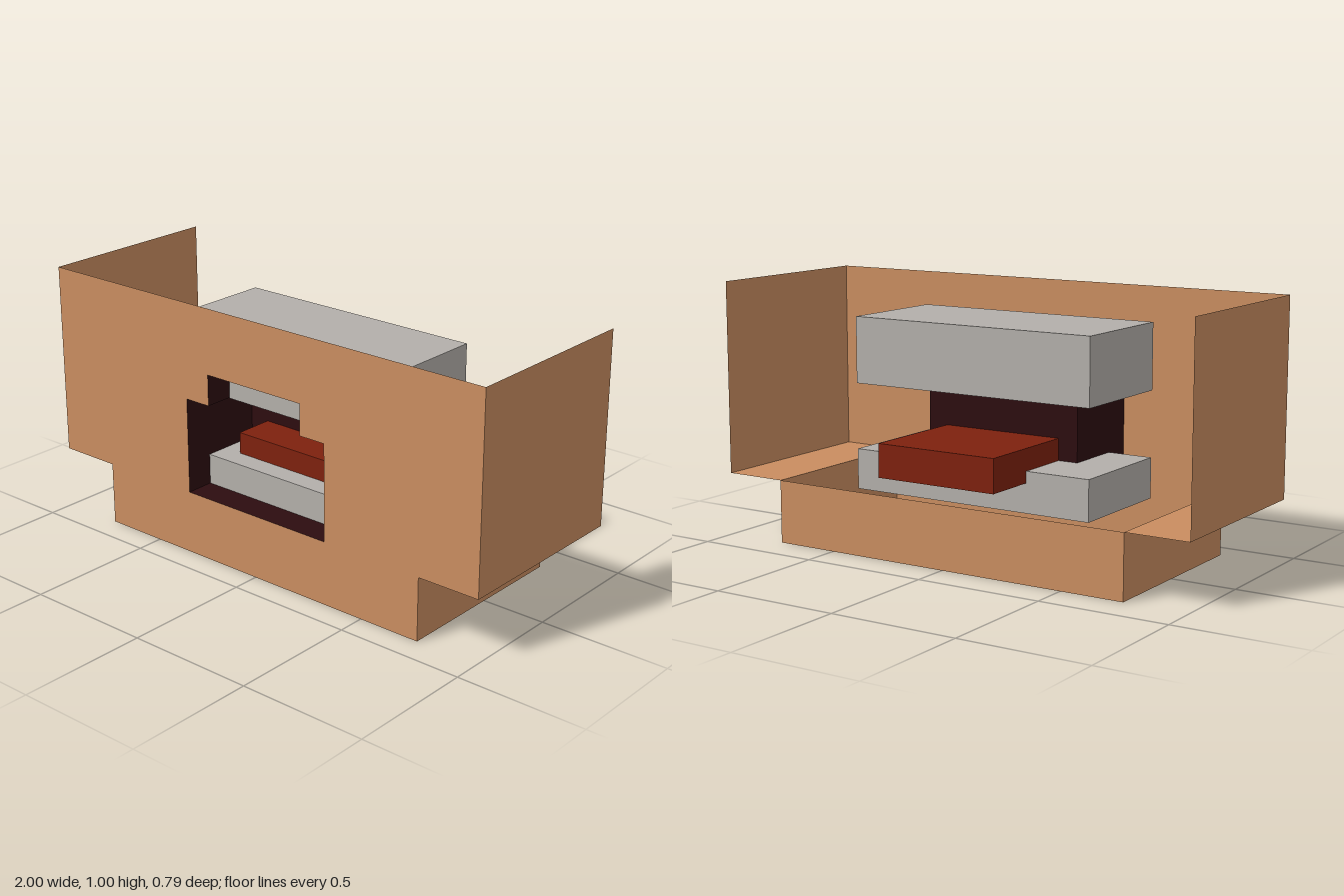
import * as THREE from 'three';

const mat = (name, color) => {
  const m = new THREE.MeshStandardMaterial({ color, side: THREE.DoubleSide });
  m.name = name;
  return m;
};

// Walls that follow an outline from z0 to z1; skip lists the open edges
function walls(points, z0, z1, skip = []) {
  const pos = [];
  points.forEach(([ax, ay], i) => {
    if (skip.includes(i)) return;
    const [bx, by] = points[(i + 1) % points.length];
    pos.push(ax, ay, z0, bx, by, z0, bx, by, z1);
    pos.push(ax, ay, z0, bx, by, z1, ax, ay, z1);
  });
  const g = new THREE.BufferGeometry();
  g.setAttribute('position', new THREE.Float32BufferAttribute(pos, 3));
  g.computeVertexNormals();
  return g;
}

const toVectors = (points) => points.map(([x, y]) => new THREE.Vector2(x, y));

export function createModel() {
  const group = new THREE.Group();
  const skin = mat('skin', 0xc98d60);
  const ivory = mat('tooth grey', 0xb3afaa);
  const red = mat('tongue red', 0x7e210e);
  const dark = mat('mouth dark', 0x2d0d10);

  const add = (name, geometry, material, z = 0) => {
    const mesh = new THREE.Mesh(geometry, material);
    mesh.name = name;
    mesh.position.z = z;
    group.add(mesh);
  };
  const box = (name, material, halfX, y0, y1, z0, z1) => {
    const g = new THREE.BoxGeometry(2 * halfX, y1 - y0, z1 - z0);
    g.translate(0, (y0 + y1) / 2, (z0 + z1) / 2);
    add(name, g, material);
  };

  const front = 0.395, back = -0.355, ledge = 0.245, top = 0.995;

  // Stepped face outline: wide above, narrow jaw below
  const face = [
    [-0.75, 0], [0.75, 0], [0.75, ledge], [1, ledge],
    [1, top], [-1, top], [-1, ledge], [-0.75, ledge],
  ];
  // Mouth opening with a narrow notch on top
  const mouth = [
    [-0.33, 0.248], [0.33, 0.248], [0.33, 0.622], [0.22, 0.622],
    [0.22, 0.742], [-0.22, 0.742], [-0.22, 0.622], [-0.33, 0.622],
  ];

  // Front plate with the mouth cut out
  const plate = new THREE.Shape(toVectors(face));
  plate.holes.push(new THREE.Path(toVectors(mouth)));
  add('facePlate', new THREE.ShapeGeometry(plate), skin, front);

  // Sides, ledges and jaw floor, open at the top
  add('faceSides', walls(face, back, front, [4]), skin);

  // Low rear wall of the jaw
  const rear = new THREE.PlaneGeometry(1.5, ledge);
  rear.rotateY(Math.PI).translate(0, ledge / 2, back);
  add('jawRear', rear, skin);

  // Mouth cavity, open to the front
  add('mouthWalls', walls(mouth, 0.045, front), dark);
  add('mouthBack', new THREE.ShapeGeometry(new THREE.Shape(toVectors(mouth))), dark, 0.045);

  // Teeth and tongue
  box('upperTeeth', ivory, 0.51, 0.62, 0.875, -0.18, 0.283);
  box('lowerTeeth', ivory, 0.51, 0.21, 0.366, -0.18, 0.283);
  box('tongue', red, 0.25, 0.322, 0.45, -0.396, 0.2);

  return group;
}
